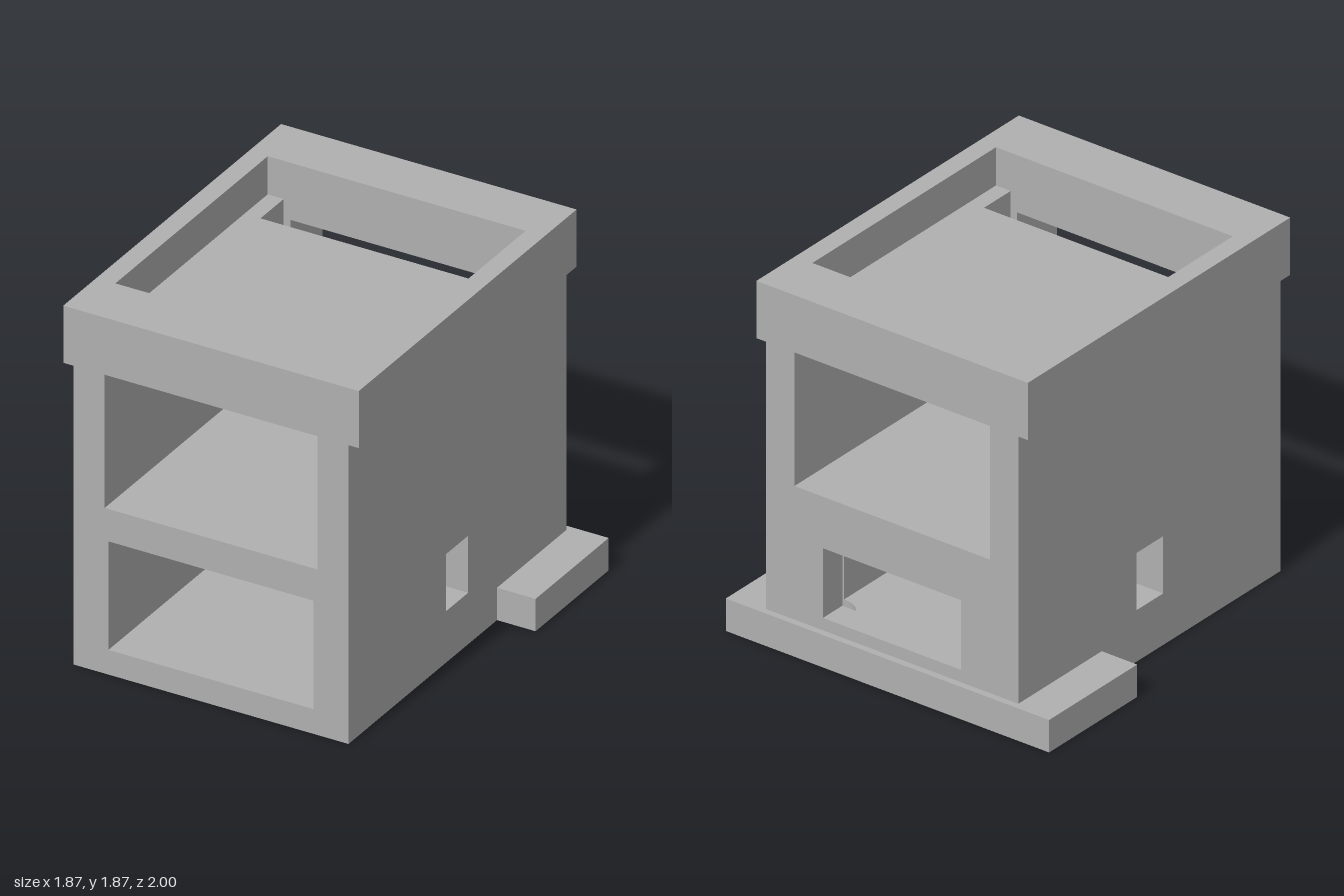
import * as THREE from 'three';
import { toCreasedNormals } from 'three/addons/utils/BufferGeometryUtils.js';

const P = (pts) => pts.map(([a, b]) => new THREE.Vector2(a, b));
const rect = (a0, a1, b0, b1) => [[a0, b0], [a1, b0], [a1, b1], [a0, b1]];

// Outline with holes, extruded by a depth
function extrude(outline, holes, depth) {
  const shape = new THREE.Shape(P(outline));
  for (const h of holes) shape.holes.push(new THREE.Path(P(h)));
  return new THREE.ExtrudeGeometry(shape, { depth, bevelEnabled: false });
}
// Plan in (x, z), filling heights y0..y1
function plan(outline, holes, y0, y1) {
  const g = extrude(outline, holes, y1 - y0).rotateX(Math.PI / 2).translate(0, y1, 0);
  return toCreasedNormals(g, 0.6);
}
// Side profile in (z, y), filling x0..x1
function side(outline, holes, x0, x1) {
  return extrude(outline, holes, x1 - x0).rotateY(-Math.PI / 2).translate(x1, 0, 0);
}
function box(x0, x1, y0, y1, z0, z1) {
  return new THREE.BoxGeometry(x1 - x0, y1 - y0, z1 - z0)
    .translate((x0 + x1) / 2, (y0 + y1) / 2, (z0 + z1) / 2);
}
// Points along an arc
function arc(cx, cz, r, a0, a1, n) {
  return Array.from({ length: n + 1 }, (_, i) => {
    const a = a0 + ((a1 - a0) * i) / n;
    return [cx + r * Math.cos(a), cz + r * Math.sin(a)];
  });
}

export function createModel() {
  const group = new THREE.Group();
  const grey = new THREE.MeshStandardMaterial({ color: 0xb0b0b0 });
  grey.name = 'plain grey';
  const add = (name, geometry) => {
    const mesh = new THREE.Mesh(geometry, grey);
    mesh.name = name;
    group.add(mesh);
  };

  const W = 0.73, BACK = -0.965, FRONT = 1;   // body half width and ends
  const CH = 0.545, CHB = -0.82;              // lower chamber half width and back
  const HX = 0.53, HZ = -0.73, HR = 0.11;     // bolt hole centre and radius
  const SPLIT = -0.6;                         // where back corners meet side walls
  const slots = [[-0.675, -0.465], [0.5, 0.7]];

  // Base floor with flange outline and two bolt holes
  const T = [[-0.935, -1], [0.935, -1], [0.935, -0.34], [W, -0.34], [W, FRONT],
    [-W, FRONT], [-W, -0.34], [-0.935, -0.34]];
  const holes = [-1, 1].map((s) => arc(s * HX, HZ, HR, 0, Math.PI * 2, 40).slice(0, -1));
  add('baseFloor', plan(T, holes, 0, 0.13));

  // Upper part of the flange, wrapping the back of the body
  add('baseFlange', plan([[-0.935, -1], [0.935, -1], [0.935, -0.34], [W, -0.34],
    [W, BACK], [-W, BACK], [-W, -0.34], [-0.935, -0.34]], [], 0.13, 0.17));

  // Lower back corner with the bolt hole cut into the walls
  const a0 = Math.acos((CH - HX) / HR);
  const a1 = -Math.PI - Math.asin((CHB - HZ) / HR);
  const corner = [[0.4, BACK], [W, BACK], [W, SPLIT], [CH, SPLIT],
    ...arc(HX, HZ, HR, a0, a1, 24), [0.4, CHB]];

  for (const s of [-1, 1]) {
    const label = s > 0 ? 'left' : 'right';
    const span = (a, b) => (s > 0 ? [a, b] : [-b, -a]);

    add(label + 'BackCorner', plan(corner.map(([x, z]) => [s * x, z]), [], 0.13, 0.6));
    add(label + 'CornerCap', box(...span(CH, W), 0.6, 0.7, BACK, SPLIT));

    // Lower side wall with window
    add(label + 'LowerWall', side(rect(SPLIT, FRONT, 0.13, 0.7),
      [rect(-0.08, 0.12, 0.27, 0.57)], ...span(CH, W)));

    // Upper side wall, its inner skin notched below the slots
    add(label + 'UpperWall', box(...span(0.6, W), 0.87, 1.57, BACK, FRONT));
    const notches = [...slots].reverse().flatMap(([z0, z1]) =>
      [[z1, 1.57], [z1, 1.37], [z0, 1.37], [z0, 1.57]]);
    add(label + 'UpperWallLining', side([[BACK, 0.87], [FRONT, 0.87], [FRONT, 1.57],
      ...notches, [BACK, 1.57]], [], ...span(0.565, 0.6)));
  }

  // Sill and lintel of the lower back opening
  add('backSill', box(-0.4, 0.4, 0.13, 0.235, BACK, CHB));
  add('backLintel', box(-CH, CH, 0.6, 0.7, BACK, CHB));

  // Slab between the two chambers
  add('middleFloor', box(-W, W, 0.7, 0.87, BACK, FRONT));

  // Overhanging top: slotted deck, then the rim around the recess.
  const outer = rect(-0.785, 0.785, BACK, FRONT);
  const recess = rect(-0.685, 0.685, -0.675, 0.7);
  add('topDeck', plan(outer, slots.map(([z0, z1]) => rect(-0.6, 0.6, z0, z1)), 1.57, 1.67));
  add('topRim', plan(outer, [recess], 1.67, 1.87));

  return group;
}
